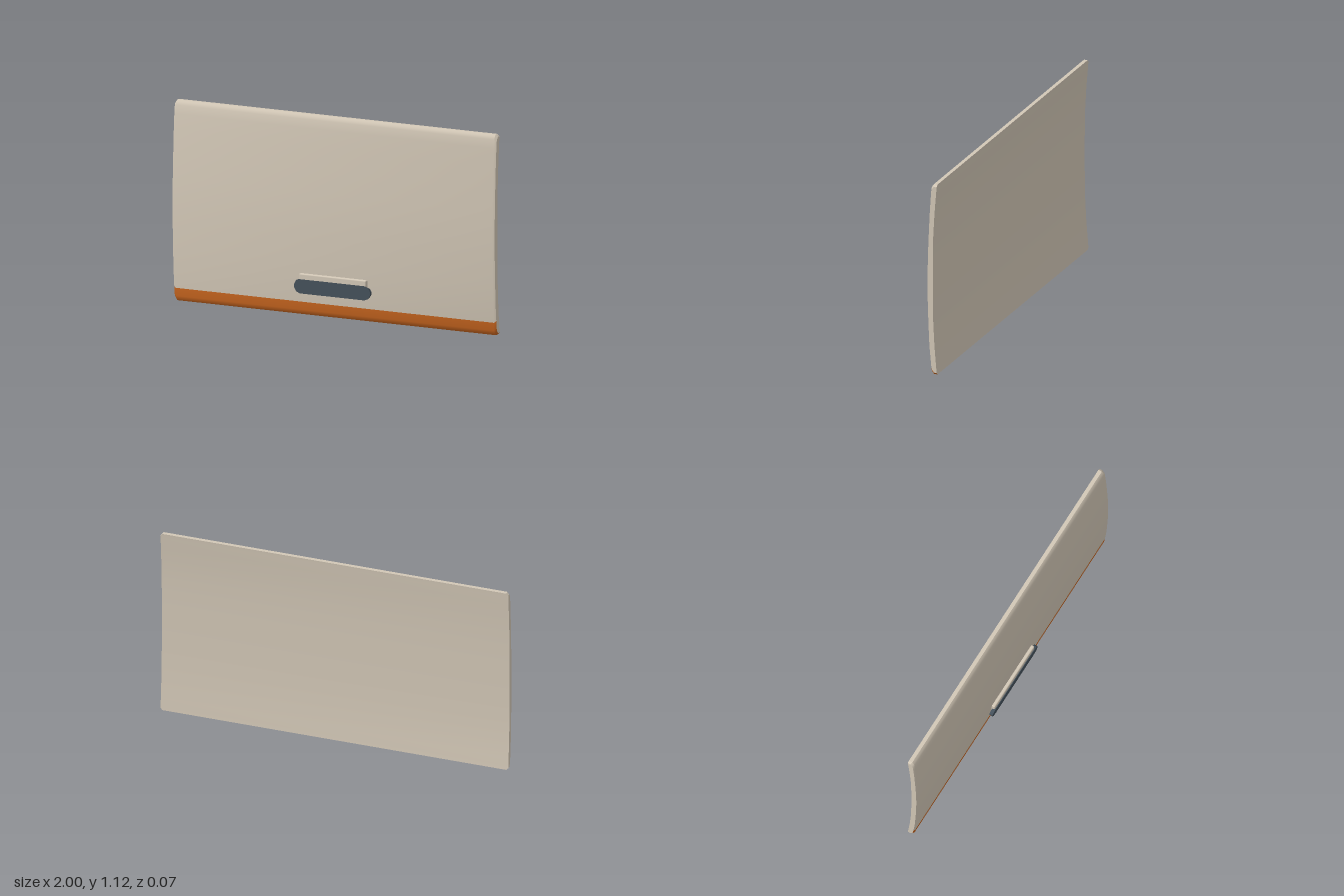
import * as THREE from 'three';
import { toCreasedNormals } from 'three/addons/utils/BufferGeometryUtils.js';
import { RoundedBoxGeometry } from 'three/addons/geometries/RoundedBoxGeometry.js';

const material = (name, color) => {
  const m = new THREE.MeshStandardMaterial({ color });
  m.name = name;
  return m;
};

// Panel profile rows: height, front z, back z
const ROWS = [
  [0, -0.016, -0.037], [0.01, -0.008, -0.036], [0.027, -0.001, -0.035], [0.072, 0.003, -0.031],
  [0.16, 0.011, -0.024], [0.3, 0.017, -0.017], [0.43, 0.021, -0.015], [0.56, 0.022, -0.014],
  [0.69, 0.02, -0.015], [0.82, 0.015, -0.017], [0.95, 0.009, -0.024], [1.04, 0.003, -0.031],
  [1.088, -0.001, -0.035], [1.105, -0.008, -0.036], [1.115, -0.016, -0.037],
];
const TRIM_ROW = 3; // the coloured trim reaches up to this row

// Loft the profile along x, with softened ends
function panelGeometry() {
  const H = 1.115, edge = 0.012, R = ROWS.length;
  const section = (x, inset) => {
    const y = v => inset + v * (H - 2 * inset) / H;
    const front = ROWS.map(r => [x, y(r[0]), r[1] - inset * 0.4]);
    const back = ROWS.map(r => [x, y(r[0]), r[2]]).reverse();
    return [...front, ...back];
  };
  const sections = [section(-1, edge), section(-1 + edge, 0), section(1 - edge, 0), section(1, edge)];
  const shell = [], trim = [];
  const quad = (out, a, b, c, d) => out.push(...a, ...b, ...c, ...a, ...c, ...d);
  const n = 2 * R;
  for (let s = 0; s < 3; s++) {
    const L = sections[s], N = sections[s + 1];
    for (let i = 0; i < n; i++) {
      const j = (i + 1) % n;
      const out = i < TRIM_ROW || i === n - 1 ? trim : shell;
      quad(out, L[i], N[i], N[j], L[j]);
    }
  }
  // End caps between the front and back edges
  const A = sections[0], B = sections[3];
  for (let i = 0; i < R - 1; i++) {
    const k = n - 1 - i;
    quad(shell, B[i], B[k], B[k - 1], B[i + 1]);
    quad(shell, A[k], A[i], A[i + 1], A[k - 1]);
  }
  const g = new THREE.BufferGeometry();
  g.setAttribute('position', new THREE.Float32BufferAttribute([...shell, ...trim], 3));
  g.addGroup(0, shell.length / 3, 0);
  g.addGroup(shell.length / 3, trim.length / 3, 1);
  return toCreasedNormals(g, 0.55);
}

// Grip with angled ends, leaning outward towards the top
function gripGeometry() {
  const half = [[0.2, 0.124], [0.223, 0.133], [0.235, 0.155], [0.235, 0.175], [0.223, 0.197], [0.205, 0.204]];
  const outline = [...half, ...half.map(([x, y]) => [-x, y]).reverse()];
  const shape = new THREE.Shape(outline.map(p => new THREE.Vector2(...p)));
  const g = new THREE.ExtrudeGeometry(shape, { depth: 0.021, bevelEnabled: false });
  const p = g.attributes.position;
  for (let i = 0; i < p.count; i++) {
    const y = p.getY(i), back = p.getZ(i) < 0.01;
    p.setZ(i, p.getZ(i) + 0.0125 + (y - 0.124) * 0.05);
    if (back) p.setY(i, 0.164 + (y - 0.164) * 0.75);
  }
  g.computeVertexNormals();
  return g;
}

export function createModel() {
  const beige = material('beige', 0xd2c7b6);
  const orange = material('orange', 0xc9661f);
  const slate = material('slate', 0x46525c);

  const group = new THREE.Group();
  group.name = 'panelDoor';
  const add = (name, geometry, mat) => {
    const mesh = new THREE.Mesh(geometry, mat);
    mesh.name = name;
    group.add(mesh);
    return mesh;
  };

  add('curvedPanel', panelGeometry(), [beige, orange]);
  // Mount behind the grip
  add('handleMount', new RoundedBoxGeometry(0.416, 0.07, 0.03, 2, 0.007), beige).position.set(0, 0.199, 0.018);
  add('handleGrip', gripGeometry(), slate);
  return group;
}
